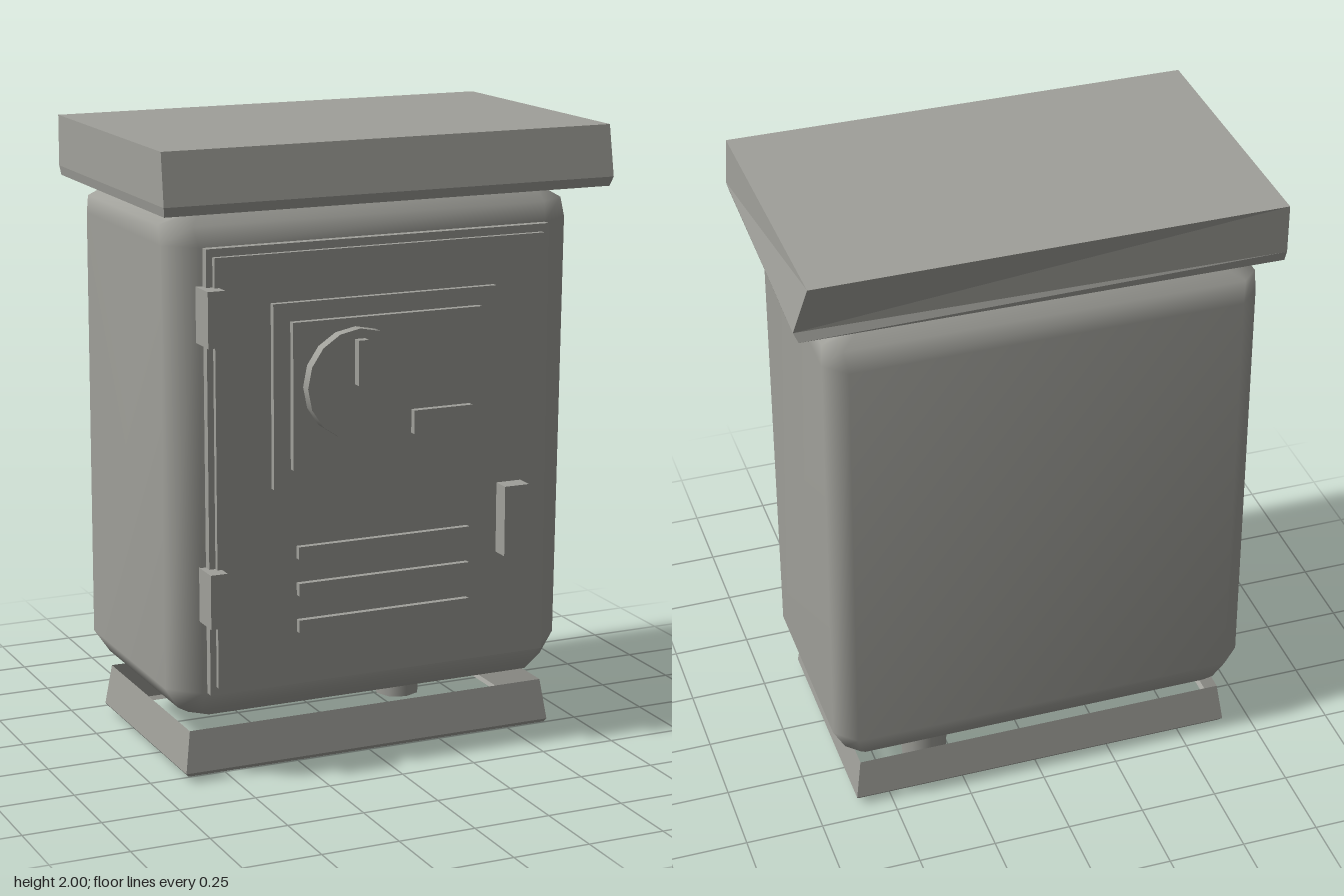
import * as THREE from 'three';

const grey = new THREE.MeshStandardMaterial({ color: 0xa0a09a });
grey.name = 'weatheredGrey';
const greySheet = new THREE.MeshStandardMaterial({ color: 0xa0a09a, side: THREE.DoubleSide });
greySheet.name = 'weatheredGreySheet';

// Skin horizontal rings [y, [[x, z], ...]] listed bottom to top, with optional flat caps.
function loft(rings, { capped = true, smooth = false } = {}) {
  const n = rings[0][1].length, pos = [], idx = [];
  const addRing = ([y, pts]) => {
    const start = pos.length / 3;
    for (const [x, z] of pts) pos.push(x, y, z);
    return start;
  };
  rings.forEach(addRing);
  for (let j = 0; j < rings.length - 1; j++) {
    for (let i = 0; i < n; i++) {
      const k = (i + 1) % n, a = j * n + i, b = j * n + k;
      idx.push(a, b, b + n, a, b + n, a + n);
    }
  }
  if (capped) {
    const lo = addRing(rings[0]), hi = addRing(rings[rings.length - 1]);
    for (let i = 1; i < n - 1; i++) {
      idx.push(lo, lo + i + 1, lo + i, hi, hi + i, hi + i + 1);
    }
  }
  let geo = new THREE.BufferGeometry();
  geo.setAttribute('position', new THREE.Float32BufferAttribute(pos, 3));
  geo.setIndex(idx);
  if (!smooth) geo = geo.toNonIndexed();
  geo.computeVertexNormals();
  return geo;
}

// Rectangle ring, front left corner first.
const rect = (x0, x1, zf, zb) => [[x0, zf], [x1, zf], [x1, zb], [x0, zb]];

// Rectangle ring with chamfered corners; cx and cz are the right front chamfer.
const chamfered = (x0, x1, zf, zb, c, cx, cz, cb = 0.065) => [
  [x0 + c, zf], [x1 - cx, zf], [x1, zf - cz], [x1, zb + cb],
  [x1 - cb, zb], [x0 + cb, zb], [x0, zb + cb], [x0, zf - c],
];

export function createModel() {
  const model = new THREE.Group();
  model.name = 'meterCabinet';

  const add = (name, geo, material = grey) => {
    const mesh = new THREE.Mesh(geo, material);
    mesh.name = name;
    model.add(mesh);
    return mesh;
  };
  // Box given by its extents
  const block = (name, x0, x1, y0, y1, z0, z1) =>
    add(name, new THREE.BoxGeometry(x1 - x0, y1 - y0, z1 - z0))
      .position.set((x0 + x1) / 2, (y0 + y1) / 2, (z0 + z1) / 2);

  // Open plinth frame
  add('plinth', loft([
    [0.02, rect(-0.64, 0.61, 0.295, -0.43)],
    [0.032, rect(-0.65, 0.617, 0.303, -0.44)],
    [0.165, rect(-0.63, 0.598, 0.285, -0.425)],
  ], { capped: false }), greySheet);

  // Cable conduit
  add('conduit', new THREE.CylinderGeometry(0.086, 0.075, 0.18, 8).toNonIndexed())
    .position.set(0.332, 0.09, -0.245);

  // Cabinet body with softened edges
  add('body', loft([
    [0.205, chamfered(-0.61, 0.61, 0.27, -0.425, 0.05, 0.06, 0.06, 0.03)],
    [0.225, chamfered(-0.645, 0.64, 0.285, -0.44, 0.06, 0.08, 0.08, 0.04)],
    [0.3, chamfered(-0.695, 0.68, 0.335, -0.475, 0.09, 0.12, 0.12)],
    [1.69, chamfered(-0.69, 0.668, 0.335, -0.475, 0.09, 0.105, 0.07)],
    [1.75, chamfered(-0.69, 0.662, 0.31, -0.445, 0.08, 0.09, 0.06, 0.05)],
    [1.79, chamfered(-0.61, 0.59, 0.28, -0.415, 0.03, 0.03, 0.03, 0.03)],
  ], { smooth: true }));

  // Overhanging roof slab, slightly skewed on its right side
  add('roof', loft([
    [1.81, [[-0.755, 0.455], [0.722, 0.455], [0.742, -0.45], [-0.755, -0.46]]],
    [1.84, [[-0.76, 0.466], [0.73, 0.466], [0.755, -0.44], [-0.76, -0.465]]],
    [2.0, [[-0.757, 0.44], [0.727, 0.44], [0.718, -0.482], [-0.757, -0.472]]],
  ]));

  // Door and its frame
  block('doorFrame', -0.59, 0.56, 0.3, 1.69, 0.32, 0.363);
  block('door', -0.57, 0.535, 0.325, 1.665, 0.35, 0.38);

  // Meter panel
  block('meterPanel', -0.39, 0.36, 0.94, 1.515, 0.37, 0.4);
  block('meterFace', -0.335, 0.3, 1.0, 1.458, 0.39, 0.422);
  block('readout', 0.06, 0.26, 1.08, 1.155, 0.41, 0.445);
  const dial = add('dial', new THREE.CylinderGeometry(0.173, 0.173, 0.05, 16));
  dial.rotation.x = Math.PI / 2;
  dial.position.set(-0.13, 1.258, 0.435);
  block('pointer', -0.148, -0.115, 1.26, 1.4, 0.45, 0.488);

  // Vent slats
  for (const y of [0.495, 0.613, 0.73]) block('ventSlat', -0.308, 0.276, y - 0.02, y + 0.02, 0.37, 0.4);

  // Handle and hinges
  block('handle', 0.38, 0.465, 0.65, 0.877, 0.37, 0.44);
  for (const y of [0.617, 1.488]) block('hinge', -0.61, -0.555, y - 0.086, y + 0.086, 0.325, 0.425);

  return model;
}
